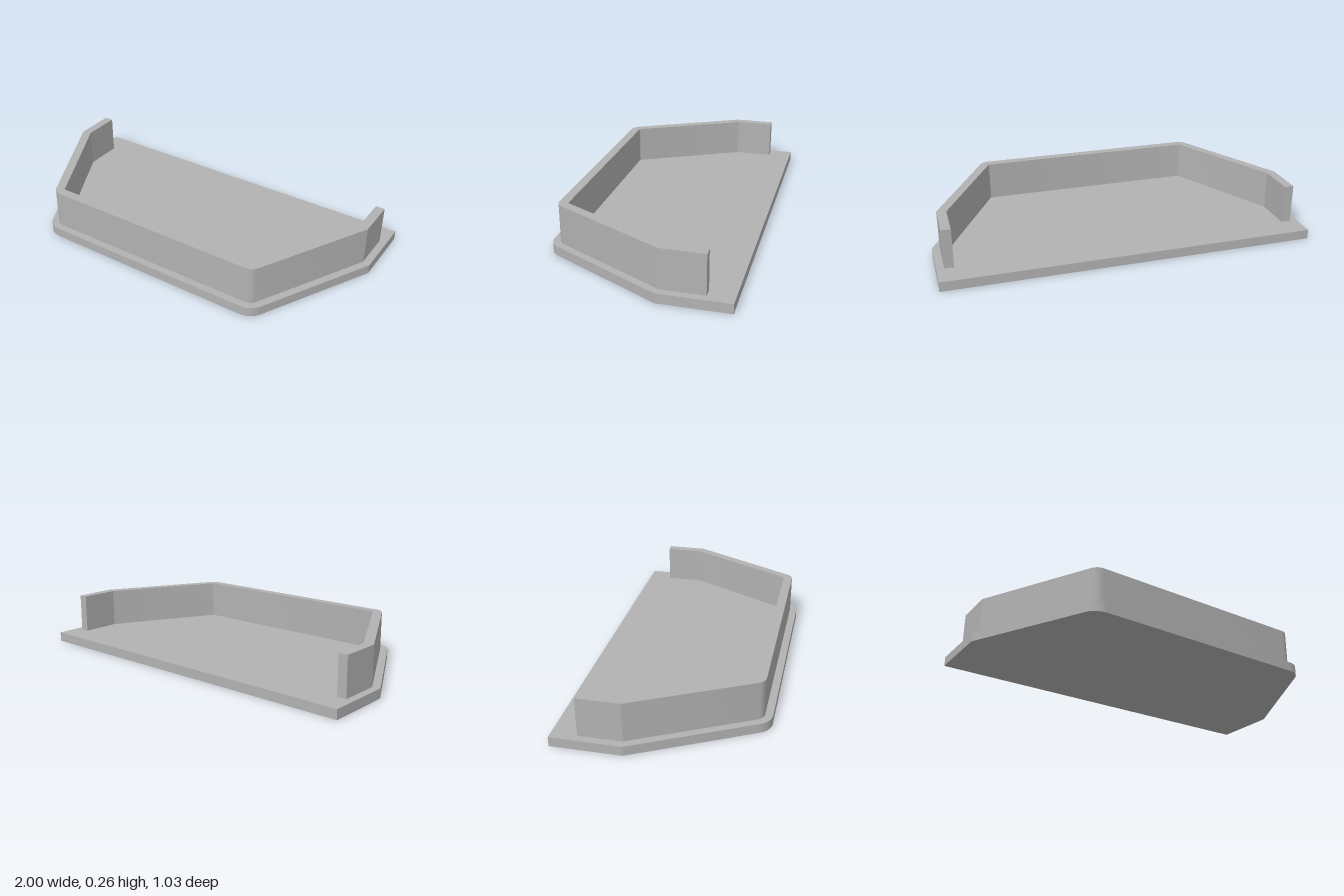
import * as THREE from 'three';
import { toCreasedNormals } from 'three/addons/utils/BufferGeometryUtils.js';

const SLANT = THREE.MathUtils.degToRad(27.5); // turn of the slanted sides
const CORNER = { x: 0.596, z: 0.413, r: 0.1 }; // rounded front corners

// Left-to-right path around the front, moved inwards by inset, as [x, z]
function frontPath(inset, endZ) {
  const half = [];
  const r = CORNER.r - inset;
  for (let i = 0; i <= 12; i++) {
    const a = Math.PI / 2 + (SLANT - Math.PI / 2) * (i / 12);
    half.push([CORNER.x + r * Math.cos(a), CORNER.z + r * Math.sin(a)]);
  }
  half.push([1 - inset, -0.145 - inset * Math.tan(SLANT / 2)], [1 - inset, endZ]);
  const mirrored = half.map(([x, z]) => [-x, z]).reverse();
  return [...mirrored, ...half];
}

// Upright prism standing on bottom, from a closed plan outline
function prism(name, outline, bottom, height, material) {
  const shape = new THREE.Shape(outline.map(([x, z]) => new THREE.Vector2(x, -z)));
  const solid = new THREE.ExtrudeGeometry(shape, { depth: height, bevelEnabled: false });
  solid.rotateX(-Math.PI / 2).translate(0, bottom, 0);
  const mesh = new THREE.Mesh(toCreasedNormals(solid, 0.3), material);
  mesh.name = name;
  return mesh;
}

export function createModel() {
  const group = new THREE.Group();
  group.name = 'trayWithRim';
  const grey = new THREE.MeshStandardMaterial({ color: 0xb2b2b2 });
  grey.name = 'grey';

  // Flat base plate, square at the back
  group.add(prism('basePlate', frontPath(0, -0.513), 0, 0.052, grey));

  // Thin wall following the plate edge, open at the back
  const wall = [...frontPath(0.04, -0.38), ...frontPath(0.09, -0.38).reverse()];
  group.add(prism('rimWall', wall, 0.052, 0.212, grey));

  return group;
}
